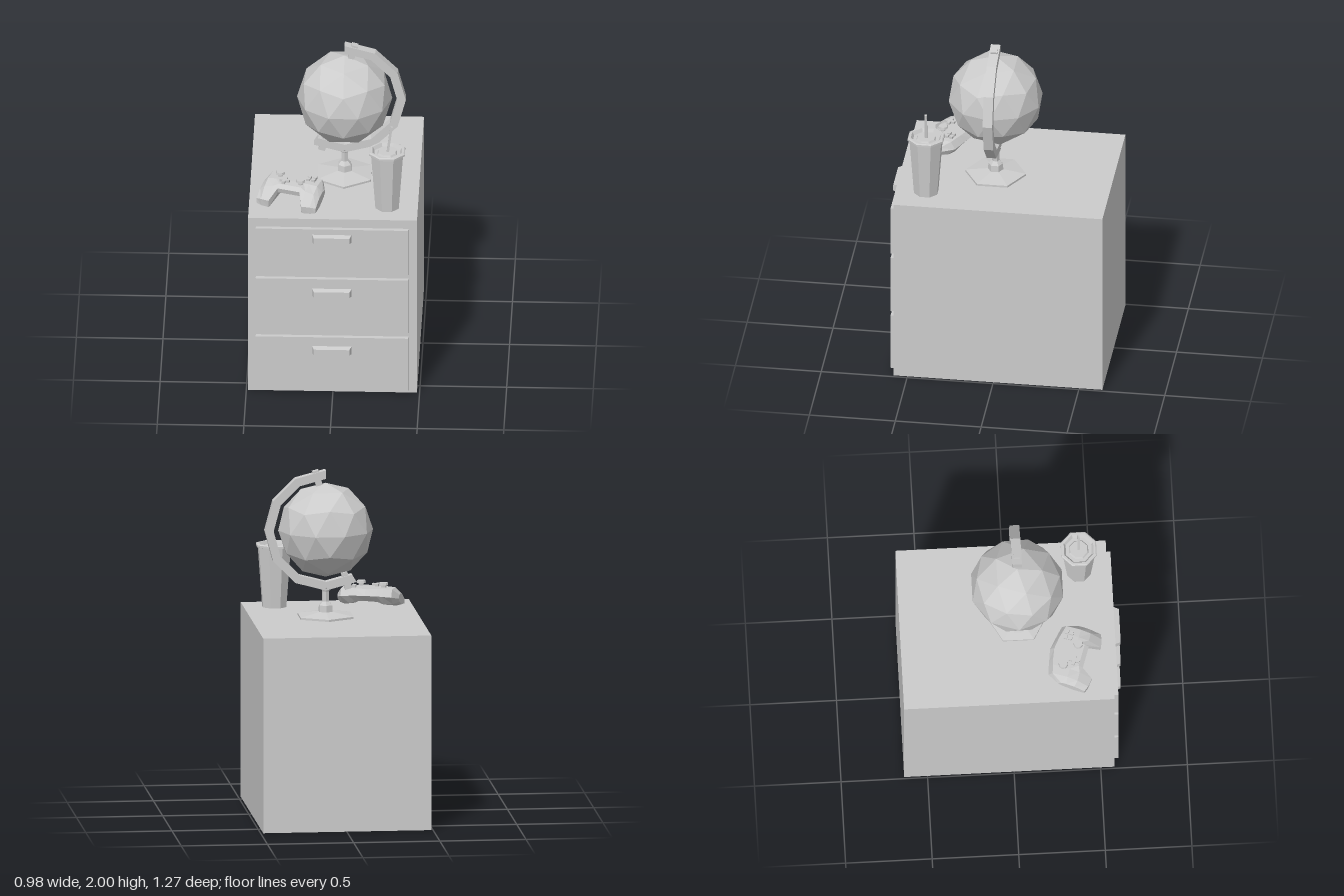
import * as THREE from 'three';

const mat = new THREE.MeshStandardMaterial({ color: 0xcccccc, flatShading: true });
const thinMat = new THREE.MeshStandardMaterial({ color: 0xcccccc, flatShading: true, side: THREE.DoubleSide });

function add(parent, name, geo, x = 0, y = 0, z = 0, material = mat) {
  const mesh = new THREE.Mesh(geo, material);
  mesh.name = name;
  mesh.position.set(x, y, z);
  parent.add(mesh);
  return mesh;
}

function group(parent, name, x = 0, y = 0, z = 0) {
  const g = new THREE.Group();
  g.name = name;
  g.position.set(x, y, z);
  parent.add(g);
  return g;
}

const box = (w, h, d) => new THREE.BoxGeometry(w, h, d);
const lathe = (pts, sides, start = 0) =>
  new THREE.LatheGeometry(pts.map(p => new THREE.Vector2(...p)), sides, start);

// Box whose front face is smaller than its back
function taperedBox(w, h, d, sx, sy) {
  const geo = box(w, h, d), p = geo.attributes.position;
  for (let i = 0; i < p.count; i++) {
    if (p.getZ(i) > 0) p.setXY(i, p.getX(i) * sx, p.getY(i) * sy);
  }
  return geo;
}

// Skin closed sections [x, [[z, y], ...]] ordered by growing x, with end caps
function loft(sections) {
  const rings = sections.map(([x, pts]) => pts.map(([z, y]) => [x, y, z]));
  const n = rings[0].length, last = rings.length - 1, out = [];
  const tri = (...corners) => corners.forEach(c => out.push(...c));
  for (let i = 0; i < last; i++) {
    for (let j = 0; j < n; j++) {
      const k = (j + 1) % n;
      const a = rings[i][j], b = rings[i][k], c = rings[i + 1][k], d = rings[i + 1][j];
      tri(a, b, c);
      tri(a, c, d);
    }
  }
  for (let j = 1; j < n - 1; j++) {
    tri(rings[last][0], rings[last][j], rings[last][j + 1]);
    tri(rings[0][0], rings[0][j + 1], rings[0][j]);
  }
  const geo = new THREE.BufferGeometry();
  geo.setAttribute('position', new THREE.Float32BufferAttribute(out, 3));
  geo.computeVertexNormals();
  return geo;
}

function buildCabinet(root) {
  const g = group(root, 'cabinet');
  add(g, 'cabinetBody', box(0.975, 1.14, 1.215), -0.0025, 0.57, -0.0275);
  for (const [low, high, handleY] of [[0.02, 0.37, 0.287], [0.4, 0.755, 0.668], [0.785, 1.085, 1.025]]) {
    add(g, 'drawerFront', box(0.88, high - low, 0.03), -0.005, (low + high) / 2, 0.59);
    add(g, 'drawerHandle', taperedBox(0.228, 0.05, 0.032, 0.9, 0.72), -0.006, handleY, 0.62);
  }
}

function buildGlobe(root) {
  const g = group(root, 'globe', 0.05, 1.65, 0.046);

  // Ball with one corner straight up
  const ball = new THREE.IcosahedronGeometry(0.275, 1);
  ball.rotateZ(Math.atan(2 / (1 + Math.sqrt(5))));
  ball.rotateY(Math.PI / 2);
  add(g, 'globeBall', ball);

  // Arm: a faceted arc from below the ball round to the top
  const outer = [], inner = [];
  for (let deg = -120; deg <= 90; deg += 30) {
    const a = THREE.MathUtils.degToRad(deg);
    outer.push(new THREE.Vector2(Math.cos(a) * 0.354, Math.sin(a) * 0.352));
    inner.unshift(new THREE.Vector2(Math.cos(a) * 0.304, Math.sin(a) * 0.302));
  }
  const arm = new THREE.ExtrudeGeometry(new THREE.Shape([...outer, ...inner]), { depth: 0.056, bevelEnabled: false });
  add(g, 'globeArm', arm, 0, 0, -0.028);

  // Tilted axle pins
  for (const [x, y, h] of [[0.049, 0.305, 0.09], [-0.119, -0.298, 0.1]]) {
    add(g, 'axlePin', box(0.038, h, 0.038), x, y, 0).rotation.z = -Math.PI / 12;
  }

  // Six-sided foot and stem
  add(g, 'globeStand', lathe([[0, -0.51], [0.177, -0.51], [0.177, -0.498], [0.045, -0.478], [0.042, -0.44],
    [0.022, -0.418], [0.022, -0.36], [0.032, -0.335], [0, -0.335]], 6));
}

function buildCup(root) {
  const g = group(root, 'cup', 0.308, 1.14, 0.415);
  const turn = Math.PI / 8;
  add(g, 'cupBody', lathe([[0, 0], [0.073, 0], [0.1, 0.355]], 8, turn));
  // Lid with a recessed top and raised centre
  add(g, 'cupLid', lathe([[0.098, 0.352], [0.111, 0.355], [0.111, 0.367], [0.104, 0.372], [0.092, 0.372],
    [0.08, 0.352], [0.06, 0.352], [0.053, 0.362], [0, 0.362]], 8, turn), 0, 0, 0, thinMat);
  add(g, 'straw', box(0.014, 0.19, 0.014), 0.012, 0.43, 0).rotation.z = -0.13;
}

function buildGamepad(root) {
  const g = group(root, 'gamepad', -0.24, 1.14, 0.36);
  g.rotation.y = -Math.PI / 10;

  // Half-width sections, from under the back, over the top, to the grip and back
  const half = [
    [0, [[-0.11, 0.05], [-0.144, 0.085], [-0.118, 0.122], [0, 0.122], [0.045, 0.118], [0.07, 0.1], [0.062, 0.07], [0, 0.05]]],
    [0.067, [[-0.1, 0.045], [-0.131, 0.083], [-0.108, 0.122], [0, 0.122], [0.045, 0.118], [0.07, 0.1], [0.062, 0.07], [0, 0.045]]],
    [0.1, [[-0.09, 0.03], [-0.125, 0.08], [-0.1, 0.122], [0, 0.122], [0.06, 0.105], [0.134, 0.045], [0.128, 0], [0.03, 0.012]]],
    [0.15, [[-0.07, 0.03], [-0.114, 0.075], [-0.088, 0.118], [0, 0.118], [0.06, 0.095], [0.124, 0.043], [0.12, 0], [0.03, 0.005]]],
    [0.181, [[-0.03, 0.04], [-0.05, 0.06], [-0.03, 0.08], [0, 0.082], [0.05, 0.07], [0.11, 0.035], [0.11, 0.005], [0.04, 0.012]]],
  ];
  const mirrored = half.slice(1).reverse().map(([x, pts]) => [-x, pts]);
  add(g, 'gamepadBody', loft([...mirrored, ...half]));

  // Thumb sticks
  for (const [x, z] of [[-0.09, -0.041], [0.052, 0.01]]) {
    add(g, 'stickStem', new THREE.CylinderGeometry(0.016, 0.016, 0.03, 8), x, 0.125, z);
    add(g, 'stickCap', new THREE.CylinderGeometry(0.025, 0.028, 0.014, 8), x, 0.143, z);
  }
  // Direction pad
  add(g, 'directionPad', box(0.06, 0.018, 0.019), -0.044, 0.126, 0.012);
  add(g, 'directionPad', box(0.019, 0.018, 0.06), -0.044, 0.126, 0.012);
  // Four buttons
  for (const dx of [-0.016, 0.016]) {
    for (const dz of [-0.014, 0.014]) add(g, 'button', box(0.021, 0.018, 0.02), 0.096 + dx, 0.126, -0.058 + dz);
  }
}

export function createModel() {
  const root = new THREE.Group();
  root.name = 'cabinetWithGlobe';
  buildCabinet(root);
  buildGlobe(root);
  buildCup(root);
  buildGamepad(root);
  return root;
}
